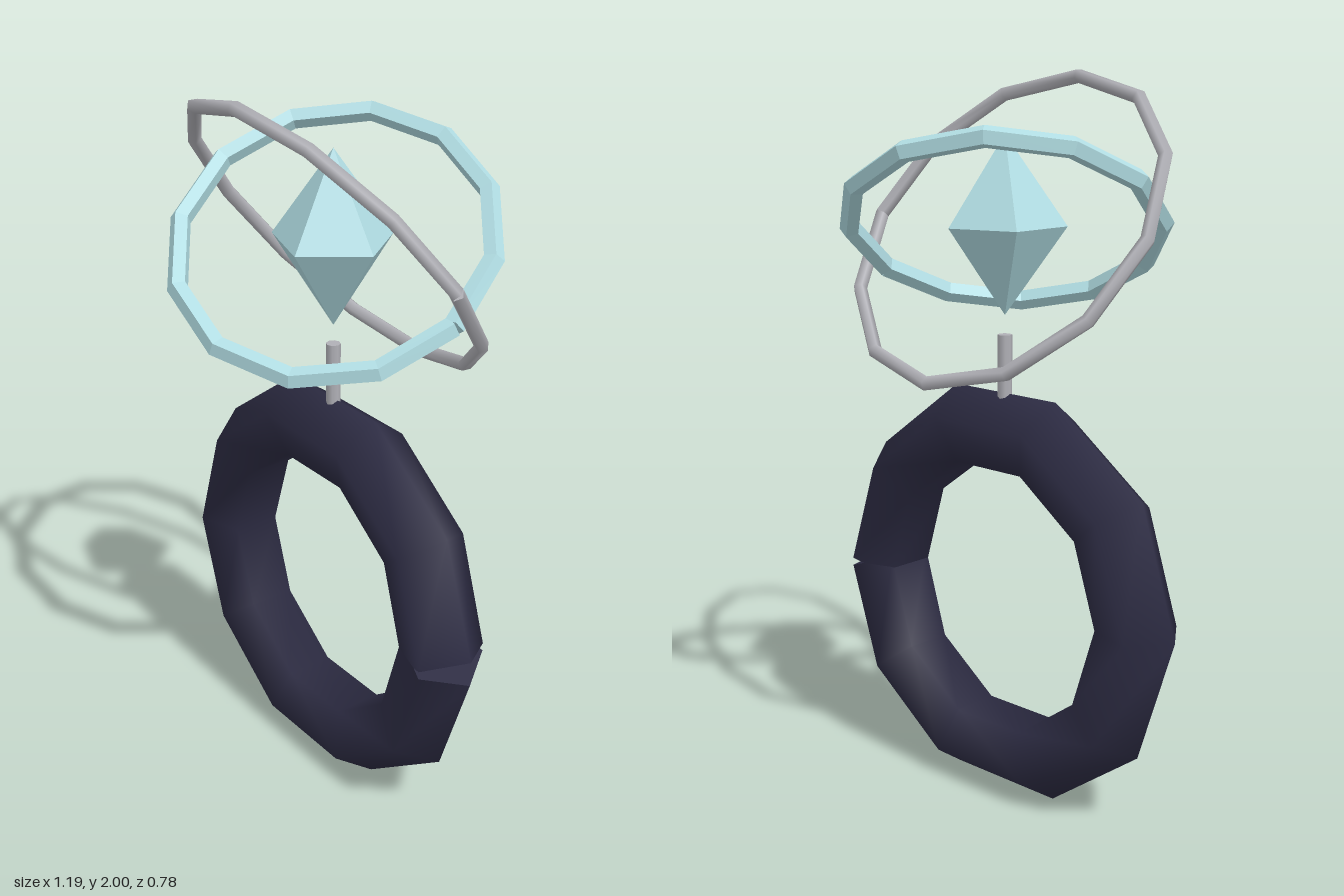
import * as THREE from 'three';

const SIDES = 5; // sides of every ring's tube

// Open hoop swept round a polygon in the XY plane. Its two end sections stand
// square to the first and last segment, which leaves a small notch at +x.
function hoopGeometry(R, r, segments, flat) {
  const pos = [], index = [];
  const addSection = (i) => {
    const a = (i / segments) * Math.PI * 2;
    const skew = Math.PI / segments;
    const d = i === 0 ? skew : i === segments ? -skew : a;
    for (let j = 0; j < SIDES; j++) {
      const b = (j / SIDES) * Math.PI * 2;
      const out = r * Math.cos(b);
      pos.push(R * Math.cos(a) + out * Math.cos(d), R * Math.sin(a) + out * Math.sin(d), r * Math.sin(b));
    }
  };
  for (let i = 0; i <= segments; i++) addSection(i);
  for (let i = 0; i < segments; i++) {
    for (let j = 0; j < SIDES; j++) {
      const k = (j + 1) % SIDES;
      const a = i * SIDES + j, b = a + SIDES, c = i * SIDES + k, d = c + SIDES;
      index.push(a, b, c, b, d, c);
    }
  }
  // end caps, with their own corners so the rim stays sharp
  for (const end of [0, segments]) {
    const base = pos.length / 3;
    addSection(end);
    for (let j = 1; j < SIDES - 1; j++) {
      if (end === 0) index.push(base, base + j, base + j + 1);
      else index.push(base, base + j + 1, base + j);
    }
  }
  let geo = new THREE.BufferGeometry();
  geo.setAttribute('position', new THREE.Float32BufferAttribute(pos, 3));
  geo.setIndex(index);
  if (flat) geo = geo.toNonIndexed();
  geo.computeVertexNormals();
  return geo;
}

export function createModel() {
  const group = new THREE.Group();
  const material = (name, color) => {
    const m = new THREE.MeshStandardMaterial({ color });
    m.name = name;
    return m;
  };
  const dark = material('midnight band', 0x2c2b42);
  const silver = material('silver', 0xb0b0b6);
  const aqua = material('pale aqua', 0xb0dce2);

  const add = (name, geo, mat, y) => {
    const mesh = new THREE.Mesh(geo, mat);
    mesh.name = name;
    mesh.position.y = y;
    group.add(mesh);
    return mesh;
  };

  // large finger band
  add('band', hoopGeometry(0.483, 0.117, 10, false), dark, 0.575);

  // short post on top of the band
  add('post', new THREE.CylinderGeometry(0.02, 0.02, 0.2, 8), silver, 1.207);

  // five-sided double pyramid
  const gem = new THREE.LatheGeometry(
    [new THREE.Vector2(0, -0.24), new THREE.Vector2(0.168, 0), new THREE.Vector2(0, 0.24)], 5, Math.PI / 2
  ).toNonIndexed();
  gem.computeVertexNormals();
  add('crystal', gem, aqua, 1.6);

  // two tilted orbit rings round the crystal
  add('outerOrbit', hoopGeometry(0.485, 0.02, 12, false), silver, 1.6).rotation.x = 0.65;

  const innerGeo = hoopGeometry(0.42, 0.029, 12, true).rotateX(-Math.PI / 2);
  add('innerOrbit', innerGeo, aqua, 1.6).rotation.set(0.52, 0, -0.38);

  return group;
}
